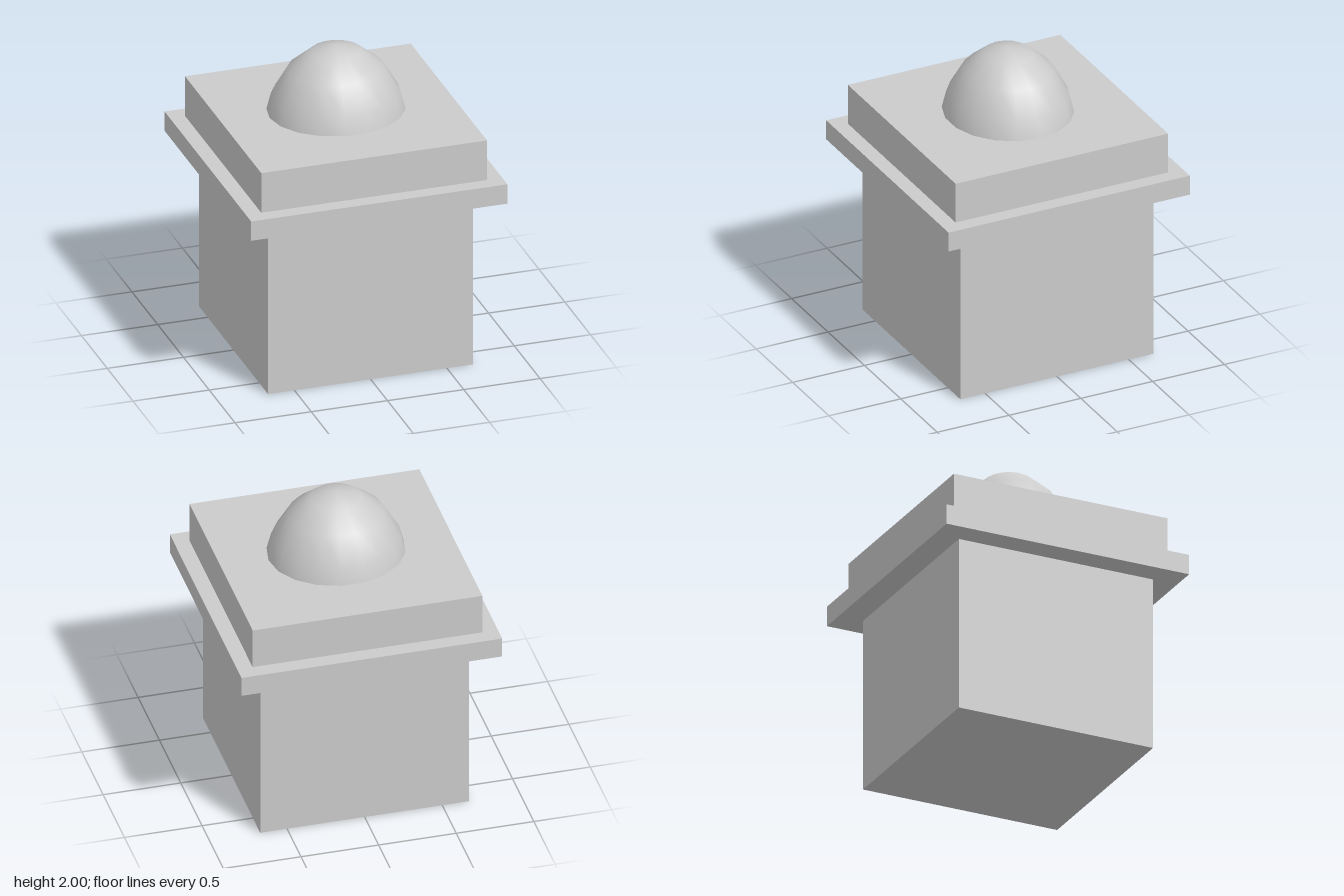
import * as THREE from 'three';

export function createModel() {
  const model = new THREE.Group();
  const material = new THREE.MeshStandardMaterial({ color: 0xcccccc });

  const add = (name, geometry) => {
    const mesh = new THREE.Mesh(geometry, material);
    mesh.name = name;
    model.add(mesh);
    return mesh;
  };

  // Square block spanning y0 to y1
  const block = (name, width, y0, y1) => {
    add(name, new THREE.BoxGeometry(width, y1 - y0, width)).position.y = (y0 + y1) / 2;
  };

  block('pedestal', 1.345, 0, 1.155);
  block('ledge', 1.68, 1.155, 1.288);
  block('capBlock', 1.48, 1.288, 1.56);

  // Tall, slightly oval dome whose rim is sunk into the cap block
  const dome = new THREE.SphereGeometry(1, 18, 4, 0, Math.PI * 2, 0, Math.PI * 4 / 9);
  dome.scale(0.47, 0.66, 0.438);
  add('dome', dome).position.y = 1.34;

  return model;
}
